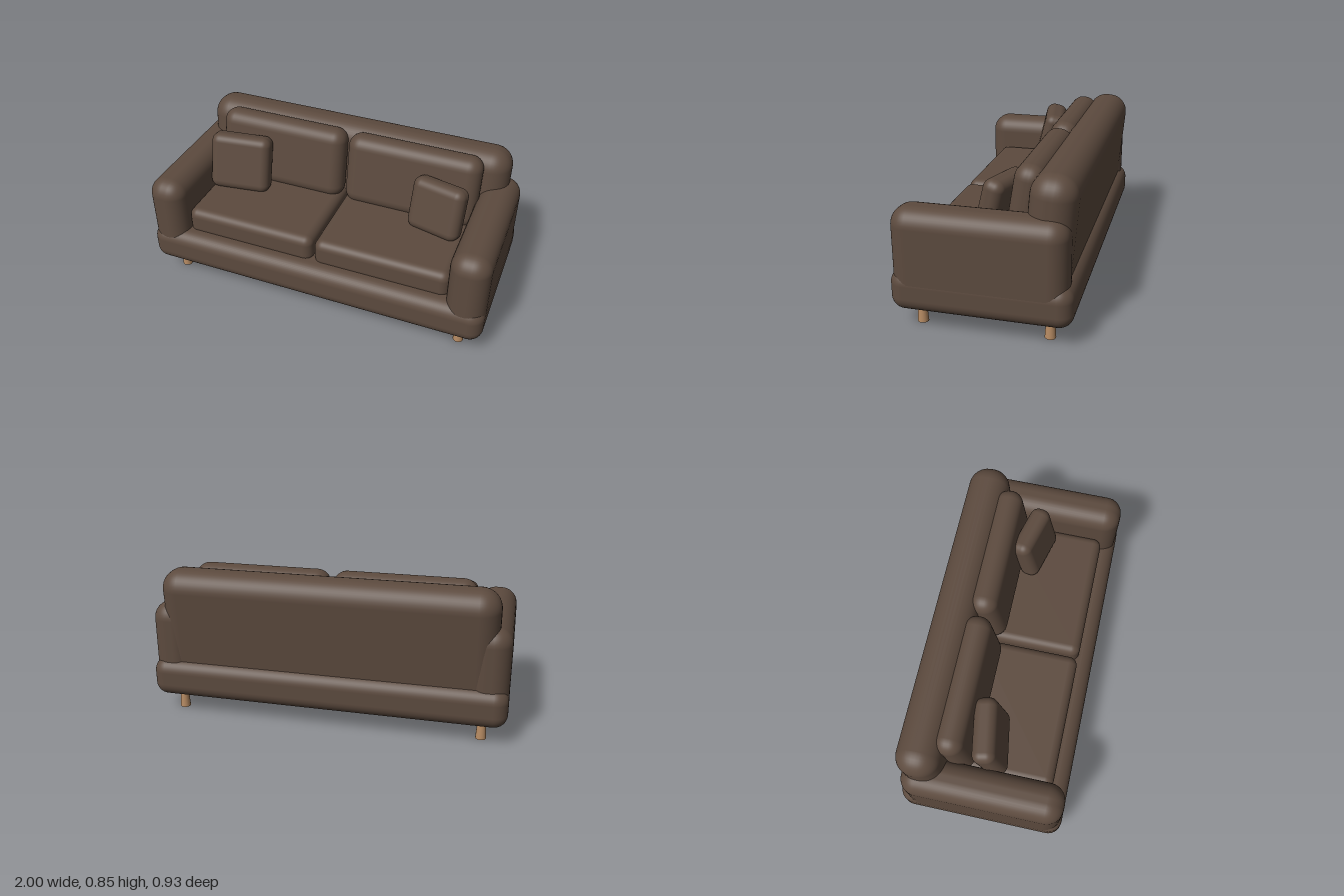
import * as THREE from 'three';
import { RoundedBoxGeometry } from 'three/addons/geometries/RoundedBoxGeometry.js';

export function createModel() {
  const model = new THREE.Group();
  model.name = 'sofa';

  const fabric = new THREE.MeshStandardMaterial({ color: 0x5c4a3e });
  fabric.name = 'brown fabric';
  const wood = new THREE.MeshStandardMaterial({ color: 0xb58a62 });
  wood.name = 'light wood';

  // Soft upholstered block: size, corner radius, centre and rotation
  function block(name, size, radius, position, rotation = [0, 0, 0]) {
    const mesh = new THREE.Mesh(new RoundedBoxGeometry(...size, 5, radius), fabric);
    mesh.name = name;
    mesh.position.set(...position);
    mesh.rotation.set(...rotation, 'YXZ');
    model.add(mesh);
  }

  // Frame and leaning backrest
  block('base', [2, 0.22, 0.93], 0.075, [0, 0.215, 0]);
  block('backrest', [1.86, 0.65, 0.24], 0.11, [0, 0.522, -0.321], [-0.085, 0, 0]);

  for (const [side, s] of [['left', 1], ['right', -1]]) {
    block(side + 'Arm', [0.22, 0.52, 0.892], 0.095, [s * 0.889, 0.39, 0.01]);
    block(side + 'SeatCushion', [0.78, 0.17, 0.62], 0.05, [s * 0.396, 0.374, 0.065]);
    block(side + 'BackCushion', [0.785, 0.43, 0.16], 0.075, [s * 0.402, 0.633, -0.174], [-0.16, 0, 0]);

    // Tapered legs, wider at the foot
    for (const [end, e] of [['Front', 1], ['Back', -1]]) {
      const leg = new THREE.Mesh(new THREE.CylinderGeometry(0.02, 0.029, 0.13, 24), wood);
      leg.name = side + end + 'Leg';
      leg.position.set(s * 0.865, 0.065, e * 0.335);
      model.add(leg);
    }
  }

  // Loose pillows turned towards the middle
  block('rightPillow', [0.36, 0.34, 0.13], 0.05, [-0.61, 0.609, -0.004], [-0.24, 0.18, -0.03]);
  block('leftPillow', [0.32, 0.31, 0.12], 0.05, [0.6, 0.592, -0.015], [-0.24, -0.27, 0.03]);

  return model;
}
